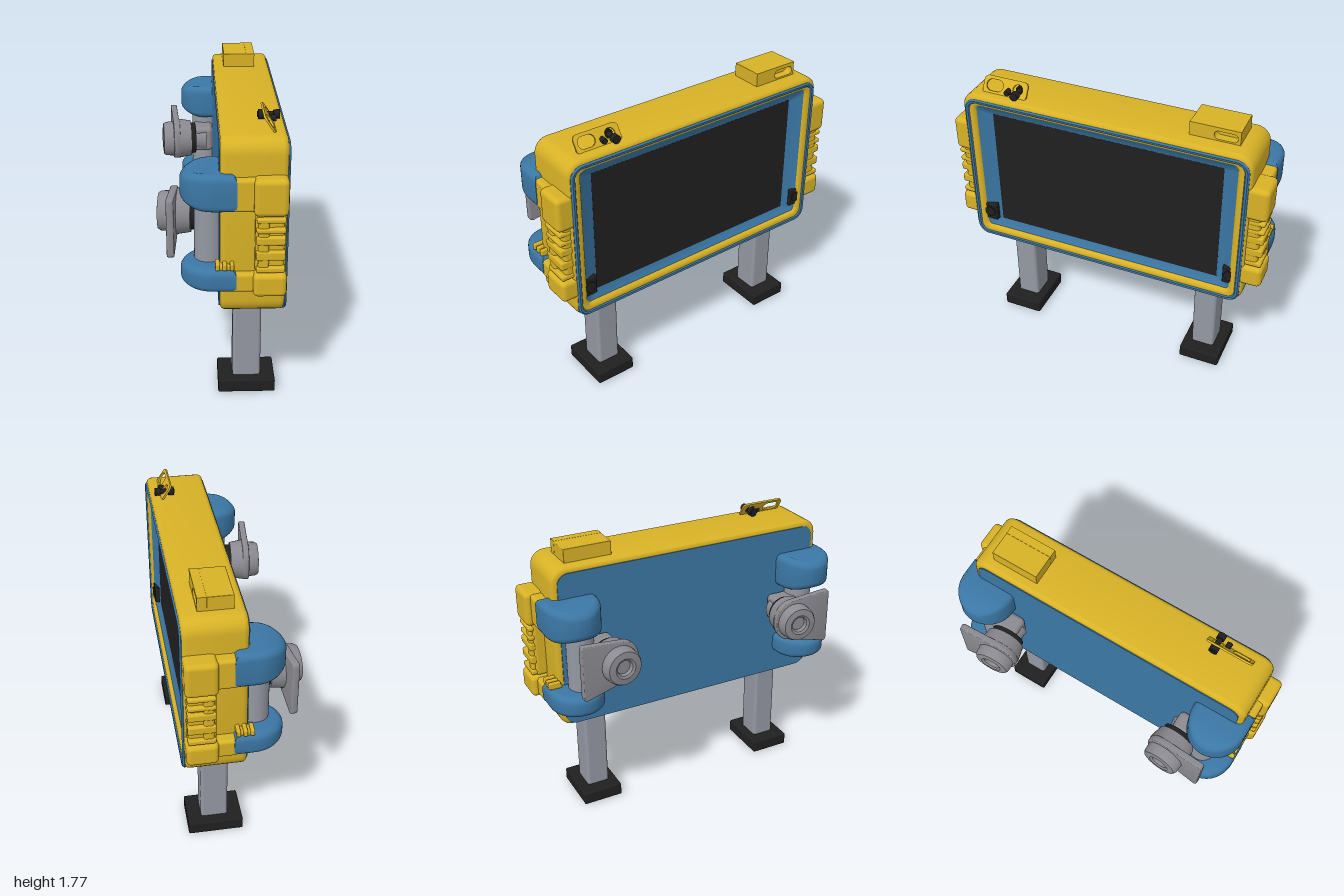
import * as THREE from 'three';
import { toCreasedNormals } from 'three/addons/utils/BufferGeometryUtils.js';
import { RoundedBoxGeometry } from 'three/addons/geometries/RoundedBoxGeometry.js';

const mat = (name, color) => Object.assign(new THREE.MeshStandardMaterial({ color }), { name });

export function createModel() {
  const yellow = mat('yellow', 0xd8b226);
  const blue = mat('blue', 0x3b77a5);
  const black = mat('black', 0x202020);
  const steel = mat('steel grey', 0x9498a2);
  const grey = mat('joint grey', 0x8a8a90);
  const root = new THREE.Group();
  root.name = 'screenStand';

  const add = (name, geo, material, parent = root) => {
    const m = new THREE.Mesh(geo, material);
    m.name = name;
    parent.add(m);
    return m;
  };
  // Box given by its limits on each axis; r rounds the edges
  const box = (name, x0, x1, y0, y1, z0, z1, material, r = 0, parent = root) => {
    const w = x1 - x0, h = y1 - y0, d = Math.abs(z1 - z0);
    const g = r ? new RoundedBoxGeometry(w, h, d, 3, r) : new THREE.BoxGeometry(w, h, d);
    g.translate((x0 + x1) / 2, (y0 + y1) / 2, (z0 + z1) / 2);
    return add(name, g, material, parent);
  };
  // Cylinder along x from x0 (radius r0) to x1 (radius r1)
  const cylX = (name, x0, x1, r0, r1, y, z, material, parent = root) => {
    const g = new THREE.CylinderGeometry(r0, r1, x1 - x0, 32);
    g.rotateZ(Math.PI / 2).translate((x0 + x1) / 2, y, z);
    return add(name, g, material, parent);
  };
  // Counter-clockwise rounded rectangle as points
  const roundRect = (a0, a1, b0, b1, r, n = 6) => {
    const pts = [];
    [[a1 - r, b0 + r], [a1 - r, b1 - r], [a0 + r, b1 - r], [a0 + r, b0 + r]].forEach(([a, b], i) => {
      for (let k = 0; k <= n; k++) {
        const t = (i - 1 + k / n) * Math.PI / 2;
        pts.push(new THREE.Vector2(a + r * Math.cos(t), b + r * Math.sin(t)));
      }
    });
    return pts;
  };
  // Extrude a shape drawn in (-z, y) along x
  const extrudeX = (shape, x0, x1, bevel = 0) => {
    const g = new THREE.ExtrudeGeometry(shape, {
      depth: x1 - x0 - 2 * bevel, bevelEnabled: bevel > 0, bevelSize: bevel,
      bevelThickness: bevel, bevelOffset: -bevel, bevelSegments: 4, curveSegments: 20,
    });
    g.rotateY(Math.PI / 2).translate(x0 + bevel, 0, 0);
    return toCreasedNormals(g, 0.6);
  };

  // Casing: yellow ring with blue back and underside
  const ring = new THREE.Shape(roundRect(-0.91, 0.91, 0.63, 1.68, 0.09));
  ring.holes.push(new THREE.Path(roundRect(-0.82, 0.82, 0.7, 1.6, 0.03).reverse()));
  add('casing', extrudeX(ring, -0.015, 0.352, 0.03), yellow);
  add('backPanel', extrudeX(new THREE.Shape(roundRect(-0.875, 0.875, 0.645, 1.645, 0.07)), -0.021, 0.0), blue);
  box('undersidePanel', 0.015, 0.335, 0.624, 0.64, -0.82, 0.82, blue, 0.006);

  // Bezel: loops sweep round the rim and slope in to the screen
  const loops = [
    [0.325, 0.893, 0.63, 1.652, 0.075], [0.352, 0.893, 0.63, 1.652, 0.075],
    [0.362, 0.884, 0.639, 1.643, 0.068], [0.36, 0.87, 0.652, 1.63, 0.055],
    [0.35, 0.862, 0.66, 1.622, 0.05], [0.3, 0.73, 0.75, 1.54, 0.004],
  ].map(([x, z, y0, y1, r]) => roundRect(-z, z, y0, y1, r).map((p) => [x, p.y, -p.x]));
  const pos = [];
  for (let i = 0; i < loops.length - 1; i++) {
    const A = loops[i], B = loops[i + 1];
    A.forEach((a, k) => {
      const j = (k + 1) % A.length;
      pos.push(...a, ...A[j], ...B[j], ...a, ...B[j], ...B[k]);
    });
  }
  const bezel = new THREE.BufferGeometry();
  bezel.setAttribute('position', new THREE.Float32BufferAttribute(pos, 3));
  add('bezel', toCreasedNormals(bezel, 0.6), blue);
  box('screen', 0.28, 0.302, 0.748, 1.542, -0.733, 0.733, black);

  // Arm lobe: half-oval plan, thinning toward the tip
  const lobe = (y0, y1, taper) => {
    const s = new THREE.Shape();
    s.moveTo(0.075, -0.172).lineTo(-0.04, -0.172);
    s.absellipse(-0.04, 0, 0.193, 0.172, -Math.PI / 2, -Math.PI * 1.5, true);
    s.lineTo(0.075, 0.172);
    const b = 0.04;
    const g = new THREE.ExtrudeGeometry(s, {
      depth: y1 - y0 - 2 * b, bevelThickness: b, bevelSize: b, bevelOffset: -b, bevelSegments: 5, curveSegments: 28,
    });
    g.rotateX(-Math.PI / 2).translate(0, b - (y1 - y0) / 2, 0);
    const p = g.attributes.position;
    for (let i = 0; i < p.count; i++) {
      const t = Math.max(0, (-0.1 - p.getX(i)) / 0.13);
      p.setY(i, p.getY(i) * (1 - taper * t * t));
    }
    g.translate(0, (y0 + y1) / 2, 0);
    return toCreasedNormals(g, 0.7);
  };

  for (const s of [1, -1]) {
    const side = new THREE.Group();
    side.name = s > 0 ? 'frontEnd' : 'backEnd';
    side.position.z = -0.013;
    root.add(side);

    // Leg and foot
    box('leg', 0.068, 0.237, 0.07, 0.65, s * 0.566, s * 0.714, steel, 0.02, side);
    box('foot', -0.02, 0.323, 0, 0.083, s * 0.515, s * 0.775, black, 0.01, side);

    // Corner button plate on the bezel
    box('cornerPlate', 0.3, 0.34, 0.75, 0.873, s * 0.765, s * 0.862, black, 0.006, side);
    cylX('cornerButton', 0.33, 0.348, 0.036, 0.036, 0.812, s * 0.813, black, side);

    // Arms gripping the casing end
    for (const [y0, y1, taper] of [[1.275, 1.49, 0.3], [0.79, 0.93, 0.15]]) {
      add('armLobe', lobe(y0, y1, taper), blue, side).position.z = s * 0.798;
      box('armBridge', 0.05, 0.22, y0 + 0.005, y1 - 0.02, s * 0.85, s * 0.967, yellow, 0.02, side);
      box('armBlock', 0.165, 0.352, y0 - 0.01, y1 - 0.01, s * 0.86, s * 1.003, yellow, 0.03, side);
    }
    // Ribbed grip between the arms
    box('grip', 0.175, 0.335, 0.92, 1.28, s * 0.87, s * 0.965, yellow, 0.02, side);
    box('gripSpine', 0.19, 0.25, 0.95, 1.25, s * 0.9, s * 0.985, yellow, 0.015, side);
    for (const [y, h] of [[0.945, 0.035], [1.03, 0.055], [1.12, 0.05], [1.18, 0.03], [1.24, 0.03]])
      box('gripRib', 0.18, 0.34, y - h / 2, y + h / 2, s * 0.89, s * 0.992, yellow, 0.012, side);
    box('hingeStrip', -0.04, 0.06, 0.925, 0.955, s * 0.88, s * 0.95, yellow, 0.008, side);
    for (const x of [-0.03, 0.01, 0.05])
      box('hingeKnuckle', x - 0.012, x + 0.012, 0.93, 0.972, s * 0.89, s * 0.965, yellow, 0.008, side);

    // Post between the lobes, with a bracket reaching inward
    const post = new THREE.CylinderGeometry(0.085, 0.085, 0.4, 32);
    add('post', post, steel, side).position.set(-0.072, 1.1, s * 0.765);
    box('bracket', -0.15, -0.02, 1.06, 1.23, s * 0.56, s * 0.76, grey, 0.03, side);

    // Nozzle: hub, finned plate, collar
    const nozzle = new THREE.Group();
    nozzle.name = 'nozzle';
    nozzle.position.set(-0.27, 1.14, s * 0.61);
    nozzle.rotation.y = -0.08 * s;
    side.add(nozzle);
    const fin = new THREE.Shape();
    fin.moveTo(s * 0.02, -0.13);
    fin.quadraticCurveTo(s * 0.13, -0.12, s * 0.13, 0);
    fin.quadraticCurveTo(s * 0.13, 0.13, s * 0.02, 0.14);
    fin.lineTo(s * -0.22, 0.17);
    fin.quadraticCurveTo(s * -0.24, 0.17, s * -0.24, 0.14);
    fin.lineTo(s * -0.24, -0.16);
    fin.quadraticCurveTo(s * -0.24, -0.19, s * -0.21, -0.185);
    fin.closePath();
    add('finPlate', extrudeX(fin, -0.022, 0.02, 0.008), grey, nozzle);
    const hub = [[0, -0.02], [0.12, -0.02], [0.115, 0.07], [0.105, 0.088], [0.065, 0.093], [0.05, 0.085], [0.045, 0.06], [0, 0.06]];
    const hubGeo = new THREE.LatheGeometry(hub.map((p) => new THREE.Vector2(...p)), 36).rotateZ(Math.PI / 2);
    add('hub', toCreasedNormals(hubGeo, 0.6), grey, nozzle);
    cylX('neck', 0.015, 0.1, 0.135, 0.12, 0, 0, grey, nozzle);
    cylX('collar', 0.095, 0.13, 0.105, 0.105, 0, 0, black, nozzle);
    cylX('stem', 0.12, 0.2, 0.075, 0.09, 0, 0, grey, nozzle);
  }

  // Top box with an oval pocket toward the screen side
  box('topBox', 0.05, 0.2, 1.66, 1.765, -0.8, -0.5, yellow, 0.004);
  const pocket = new THREE.Shape([[0.5, 1.66], [0.8, 1.66], [0.8, 1.765], [0.5, 1.765]].map((p) => new THREE.Vector2(...p)));
  pocket.holes.push(new THREE.Path(roundRect(0.645, 0.785, 1.69, 1.742, 0.025)));
  add('topBoxFace', extrudeX(pocket, 0.199, 0.252), yellow);

  // Leaning bracket plate with slots, and its connector
  const tab = new THREE.Shape(roundRect(-0.145, 0.145, 0, 0.115, 0.03));
  tab.holes.push(new THREE.Path(roundRect(-0.125, -0.015, 0.025, 0.095, 0.034)));
  tab.holes.push(new THREE.Path(roundRect(0.05, 0.115, 0.028, 0.093, 0.032)));
  const bracket = add('topBracket', extrudeX(tab, -0.006, 0.006), yellow);
  bracket.position.set(0.29, 1.668, 0.655);
  bracket.rotation.z = 0.6;
  cylX('connector', 0.2, 0.3, 0.016, 0.016, 1.708, 0.57, black);
  cylX('connectorHead', 0.29, 0.325, 0.025, 0.025, 1.708, 0.57, black);
  cylX('connectorNut', 0.205, 0.24, 0.027, 0.027, 1.708, 0.57, black);
  cylX('pin', 0.25, 0.3, 0.017, 0.017, 1.705, 0.63, black);

  return root;
}
